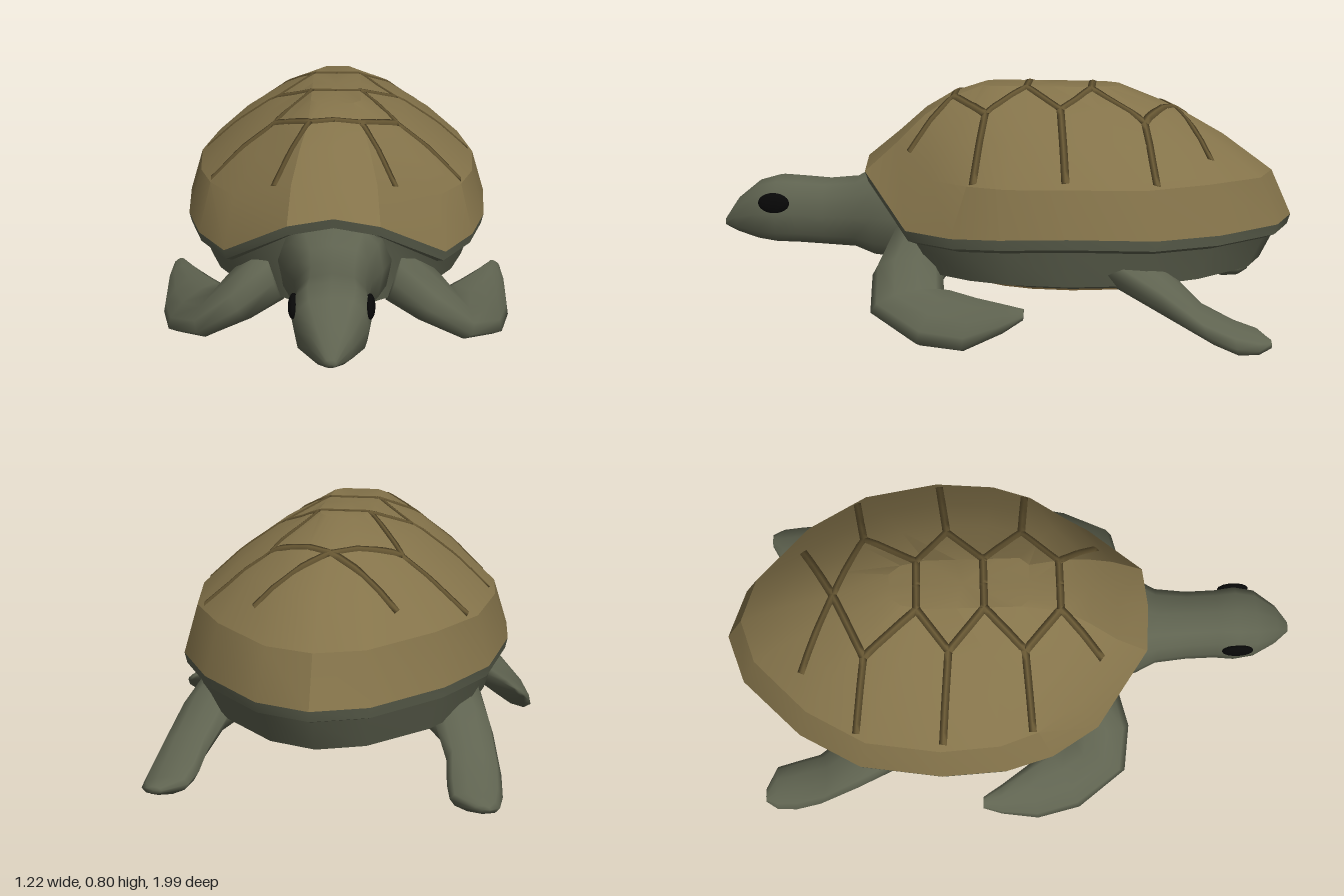
import * as THREE from 'three';
import { toCreasedNormals } from 'three/addons/utils/BufferGeometryUtils.js';

const paint = (color) => new THREE.MeshStandardMaterial({ color });
const V = (x, y, z) => new THREE.Vector3(x, y, z);

// Skin a list of equal-length vertex loops; loops run counter-clockwise around the direction of travel
function loft(rings, capStart = true, capEnd = true) {
  const n = rings[0].length, pos = [], idx = [];
  rings.forEach((r) => r.forEach((p) => pos.push(p.x, p.y, p.z)));
  const cap = (k, reverse) => {
    const c = rings[k].reduce((s, p) => s.add(p), V(0, 0, 0)).divideScalar(n);
    const id = pos.length / 3;
    pos.push(c.x, c.y, c.z);
    for (let j = 0; j < n; j++) {
      const a = k * n + j, b = k * n + (j + 1) % n;
      idx.push(id, ...(reverse ? [b, a] : [a, b]));
    }
  };
  for (let i = 0; i < rings.length - 1; i++) {
    for (let j = 0; j < n; j++) {
      const a = i * n + j, b = i * n + (j + 1) % n;
      idx.push(a, b, a + n, b, b + n, a + n);
    }
  }
  if (capStart) cap(0, true);
  if (capEnd) cap(rings.length - 1, false);
  const g = new THREE.BufferGeometry();
  g.setAttribute('position', new THREE.Float32BufferAttribute(pos, 3));
  g.setIndex(idx);
  g.computeVertexNormals();
  return g;
}

// Oval loop around p with half axes a and b; power below 1 makes it boxier
function section(p, a, b, sides, power = 1) {
  const soft = (v) => Math.sign(v) * Math.pow(Math.abs(v), power);
  return Array.from({ length: sides }, (_, i) => {
    const t = (i / sides) * Math.PI * 2;
    return p.clone().addScaledVector(a, soft(Math.cos(t))).addScaledVector(b, soft(Math.sin(t)));
  });
}

// Half outlines from front to back [x, y, z], mirrored into full loops
const RIM = [[0, 0.56, 0.47], [0.15, 0.53, 0.46], [0.37, 0.375, 0.29], [0.47, 0.375, 0.13], [0.52, 0.385, -0.03],
  [0.535, 0.395, -0.25], [0.49, 0.385, -0.53], [0.37, 0.38, -0.74], [0.17, 0.375, -0.94], [0, 0.375, -1]];
const BAND = [[0, 0.65, 0.36], [0.14, 0.63, 0.35], [0.34, 0.54, 0.21], [0.43, 0.54, 0.08], [0.475, 0.54, -0.05],
  [0.49, 0.545, -0.25], [0.45, 0.54, -0.5], [0.335, 0.54, -0.7], [0.15, 0.53, -0.88], [0, 0.53, -0.93]];
const TOP = [[0, 0.82, 0.06], [0.06, 0.82, 0.06], [0.085, 0.82, 0.03], [0.085, 0.82, -0.03], [0.085, 0.82, -0.09],
  [0.085, 0.82, -0.18], [0.085, 0.82, -0.28], [0.07, 0.82, -0.36], [0.04, 0.82, -0.4], [0, 0.82, -0.4]];

function loop(half) {
  const pts = half.map((p) => V(...p));
  const other = pts.slice(1, -1).reverse().map((p) => V(-p.x, p.y, p.z));
  return [...pts, ...other];
}
// Rim outline scaled about the shell's middle, with its height set by a rule
const rimRing = (s, height) => loop(RIM.map(([x, y, z]) => [x * s, height(y), (z + 0.27) * s - 0.27]));
const domeRing = (t) => loop(BAND.map((p, i) => p.map((v, k) =>
  v + (TOP[i][k] - v) * t + (k === 1 ? 0.14 * t * (1 - t) : 0))));

// Grooves between the plates, as [x, z] pairs on the left half
const GROOVES = [
  [[0, 0.16], [0.085, 0.16], [0.2, 0.3]],
  [[0.085, 0.16], [0.21, 0.04], [0.43, 0.06]],
  [[0, -0.09], [0.085, -0.09], [0.21, 0.04]],
  [[0.085, -0.09], [0.21, -0.21], [0.47, -0.24]],
  [[0, -0.31], [0.085, -0.31], [0.21, -0.21]],
  [[0.085, -0.31], [0.21, -0.49], [0.42, -0.53]],
  [[0.21, -0.49], [0, -0.59], [0.22, -0.71]],
];

// Flipper sections: centre, half width, half thickness
const FRONT = [
  [[0.2, 0.29, 0.24], [0, 0, 0.13], [0.03, 0.1, 0]],
  [[0.32, 0.21, 0.29], [0, 0, 0.12], [0.04, 0.07, 0]],
  [[0.41, 0.14, 0.28], [0.05, -0.02, 0.115], [0.03, 0.05, 0]],
  [[0.48, 0.115, 0.18], [0.095, -0.06, 0.05], [0.02, 0.045, 0]],
  [[0.53, 0.11, 0.06], [0.08, -0.06, 0.02], [0.015, 0.04, 0]],
  [[0.56, 0.14, -0.05], [0.045, -0.03, 0], [0.01, 0.025, 0]],
  [[0.575, 0.16, -0.115], [0.018, -0.01, 0], [0, 0.01, 0]],
];
const REAR = [
  [[0.32, 0.28, -0.4], [0.12, 0, 0.06], [0, 0.09, 0.04]],
  [[0.42, 0.19, -0.58], [0.09, -0.02, 0.02], [0, 0.075, 0.03]],
  [[0.46, 0.11, -0.7], [0.085, -0.02, 0], [0, 0.055, 0.03]],
  [[0.47, 0.07, -0.79], [0.085, -0.015, 0], [0, 0.045, 0.01]],
  [[0.475, 0.06, -0.86], [0.075, -0.01, 0], [0, 0.03, 0]],
  [[0.5, 0.06, -0.9], [0.025, 0, 0], [0, 0.012, 0]],
];
// side is +1 for left, -1 for right; the width axis is turned to keep faces outward
const flipper = (rows, side) => loft(rows.map(([p, a, b]) => section(
  V(side * p[0], p[1], p[2]), V(-a[0], -side * a[1], -side * a[2]), V(side * b[0], b[1], b[2]), 10)));

// Neck and head: z, bottom, top, half width
const HEAD = [[0.28, 0.2, 0.54, 0.21], [0.44, 0.21, 0.525, 0.16], [0.51, 0.235, 0.485, 0.125], [0.62, 0.24, 0.475, 0.113],
  [0.72, 0.245, 0.482, 0.113], [0.79, 0.247, 0.485, 0.122], [0.86, 0.258, 0.465, 0.112], [0.94, 0.28, 0.4, 0.065],
  [0.99, 0.3, 0.325, 0.018]];

export function createModel() {
  const model = new THREE.Group();
  const skin = paint(0x5f6350), shellColor = paint(0x84734a), grooveColor = paint(0x665632);
  const plastronColor = paint(0x6b5733), black = paint(0x080808);
  const add = (name, geometry, material) => {
    const m = new THREE.Mesh(geometry, material);
    m.name = name;
    model.add(m);
    return m;
  };

  // Shell: flared rim band, then a dome
  const shell = add('shell', toCreasedNormals(
    loft([loop(RIM), ...[0, 0.32, 0.62, 1].map(domeRing)], false), 0.45), shellColor);

  // Plate grooves draped over the dome
  const ray = new THREE.Raycaster();
  const heightAt = (x, z) => {
    ray.set(V(x, 2, z), V(0, -1, 0));
    const hit = ray.intersectObject(shell)[0];
    return hit ? hit.point.y : 0.54;
  };
  const grooves = new THREE.Group();
  grooves.name = 'shellGrooves';
  model.add(grooves);
  const drape = ([x0, z0], [x1, z1]) => {
    const w = V(z1 - z0, 0, x0 - x1).setLength(0.013);
    const rings = Array.from({ length: 9 }, (_, i) => {
      const x = x0 + (x1 - x0) * i / 8, z = z0 + (z1 - z0) * i / 8;
      const a = w.clone();
      a.y = (heightAt(x + w.x, z + w.z) - heightAt(x - w.x, z - w.z)) / 2;
      return section(V(x, heightAt(x, z) + 0.001, z), a, V(0, 0.004, 0), 4);
    });
    const m = new THREE.Mesh(loft(rings), grooveColor);
    m.name = 'groove';
    grooves.add(m);
  };
  for (const side of [1, -1]) {
    for (const line of GROOVES) {
      const pts = line.map(([x, z]) => [side * x, z]);
      for (let i = 1; i < pts.length; i++) drape(pts[i - 1], pts[i]);
    }
  }

  // Body under the shell, ending in a dark lip along the rim
  add('body', toCreasedNormals(loft([
    rimRing(0.62, () => 0.18), rimRing(0.86, () => 0.22), rimRing(0.93, (y) => y - 0.05),
    rimRing(0.985, (y) => y - 0.035), loop(RIM)], true, false), 0.7), skin);

  // Belly plate
  add('bellyPlate', toCreasedNormals(loft([
    rimRing(0.28, () => 0.148), rimRing(0.6, () => 0.172), rimRing(0.6, () => 0.2)]), 0.5), plastronColor);

  // Neck and head
  add('neckAndHead', loft(HEAD.map(([z, lo, hi, w]) => section(
    V(0, (lo + hi) / 2, z), V(w, 0, 0), V(0, (hi - lo) / 2, 0), 12, 0.75))), skin);

  // Paired parts
  for (const side of [1, -1]) {
    const label = side > 0 ? 'left' : 'right';
    add(`${label}FrontFlipper`, flipper(FRONT, side), skin);
    add(`${label}RearFlipper`, flipper(REAR, side), skin);
    const eye = add(`${label}Eye`, new THREE.SphereGeometry(1, 16, 12), black);
    eye.scale.set(0.016, 0.036, 0.055);
    eye.position.set(side * 0.116, 0.405, 0.79);
  }
  return model;
}
